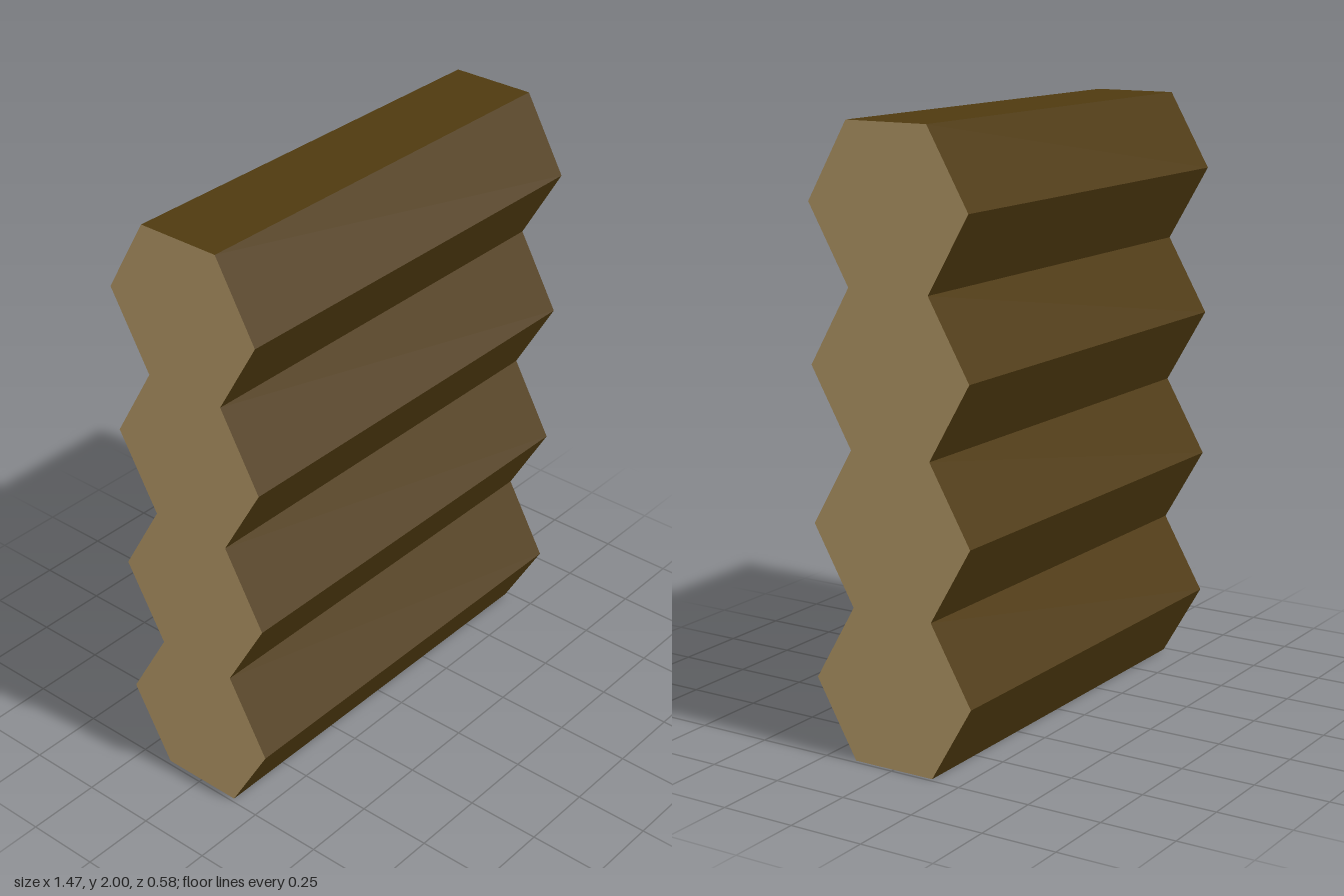
import * as THREE from 'three';

export function createModel() {
  const bark = new THREE.MeshStandardMaterial({ name: 'dark bark', color: 0x4f3a10, flatShading: true });
  const cutWood = new THREE.MeshStandardMaterial({ name: 'pale cut wood', color: 0xbb9f6b, flatShading: true });

  const wall = new THREE.Group();
  wall.name = 'logWall';

  // Hexagonal log lying along x: flat top and bottom, points to front and back
  const height = 0.5;
  const radius = height / Math.sqrt(3);
  const logGeometry = new THREE.CylinderGeometry(radius, radius, 1.474, 6);
  logGeometry.rotateZ(Math.PI / 2);

  // Four stacked logs, bark on the sides and cut wood on both ends
  for (let i = 0; i < 4; i++) {
    const log = new THREE.Mesh(logGeometry, [bark, cutWood, cutWood]);
    log.name = `log${i + 1}`;
    log.position.y = height * (i + 0.5);
    wall.add(log);
  }
  return wall;
}
